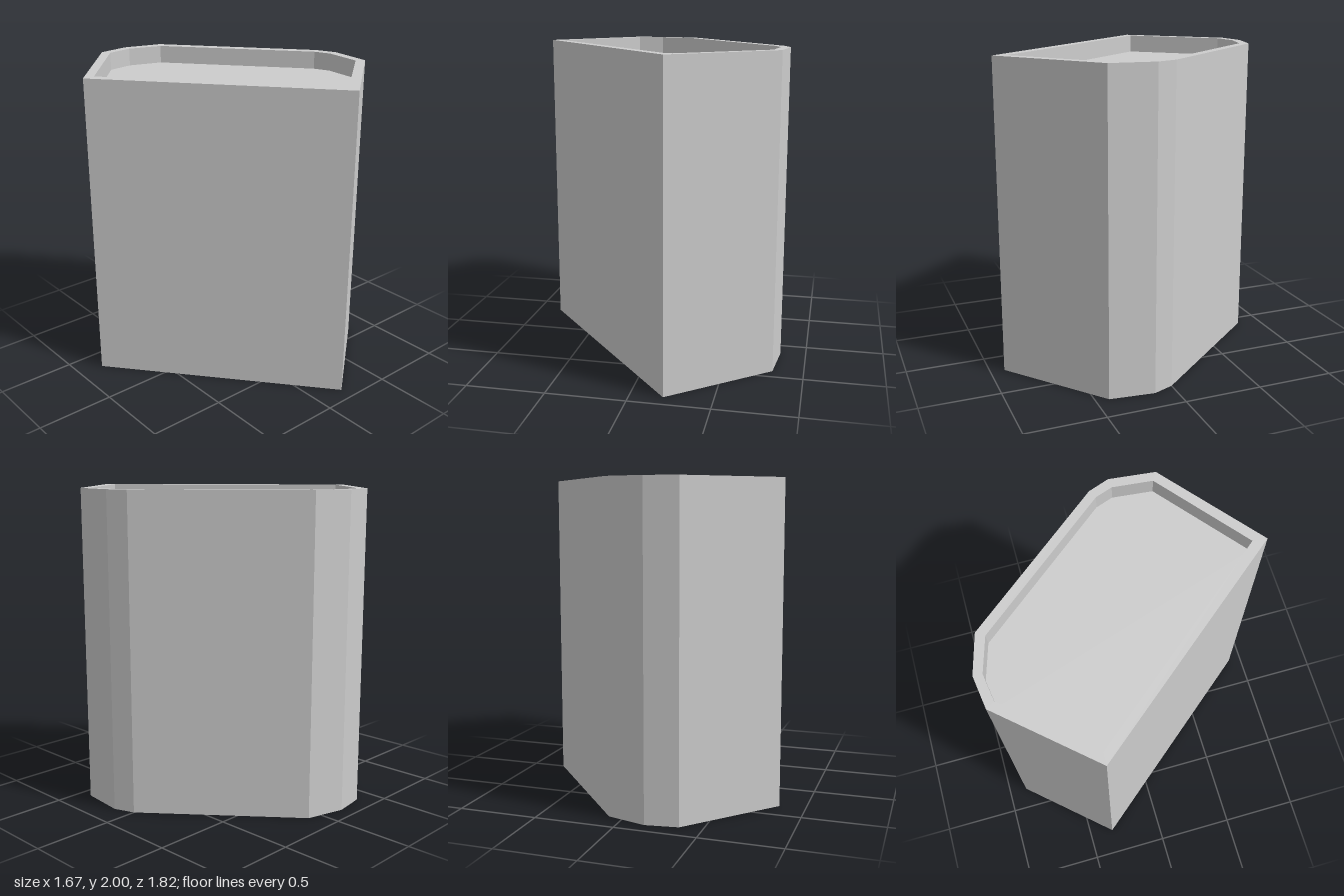
import * as THREE from 'three';

const HEIGHT = 2;
const FLOOR_Y = 1.885;

// Plan outlines as [x, z], clockwise seen from above
const OUTER = [
  [-0.838, -0.341], [-0.36, -0.881], [-0.156, -0.91], [0.09, -0.842],
  [0.787, 0], [0.836, 0.13], [0.806, 0.417], [0.202, 0.91],
];
const INNER = [
  [-0.761, -0.341], [-0.328, -0.829], [-0.159, -0.854], [0.057, -0.79],
  [0.737, 0.029], [0.776, 0.136], [0.752, 0.384], [0.211, 0.821],
];

// Flat-faced band of upright panels around an outline
function band(outline, y0, y1) {
  const positions = [];
  outline.forEach(([ax, az], i) => {
    const [bx, bz] = outline[(i + 1) % outline.length];
    positions.push(
      ax, y0, az, ax, y1, az, bx, y1, bz,
      ax, y0, az, bx, y1, bz, bx, y0, bz,
    );
  });
  const geometry = new THREE.BufferGeometry();
  geometry.setAttribute('position', new THREE.Float32BufferAttribute(positions, 3));
  geometry.computeVertexNormals();
  return geometry;
}

// Level sheet facing up, with an optional opening
function sheet(outline, y, opening) {
  const toPoints = (list) => list.map(([x, z]) => new THREE.Vector2(x, -z));
  const shape = new THREE.Shape(toPoints(outline));
  if (opening) shape.holes.push(new THREE.Path(toPoints(opening)));
  return new THREE.ShapeGeometry(shape).rotateX(-Math.PI / 2).translate(0, y, 0);
}

export function createModel() {
  const model = new THREE.Group();
  model.name = 'flatRoofedBuilding';
  const concrete = new THREE.MeshStandardMaterial({
    name: 'lightGrey', color: 0xcccccc, side: THREE.DoubleSide, flatShading: true,
  });

  const add = (name, geometry) => {
    const mesh = new THREE.Mesh(geometry, concrete);
    mesh.name = name;
    model.add(mesh);
  };

  // Hollow shell, open underneath
  add('outerWalls', band(OUTER, 0, HEIGHT));
  // Parapet around the sunken roof
  add('parapetTop', sheet(OUTER, HEIGHT, INNER));
  add('parapetInnerWalls', band([...INNER].reverse(), FLOOR_Y, HEIGHT));
  add('roof', sheet(INNER, FLOOR_Y));

  return model;
}
